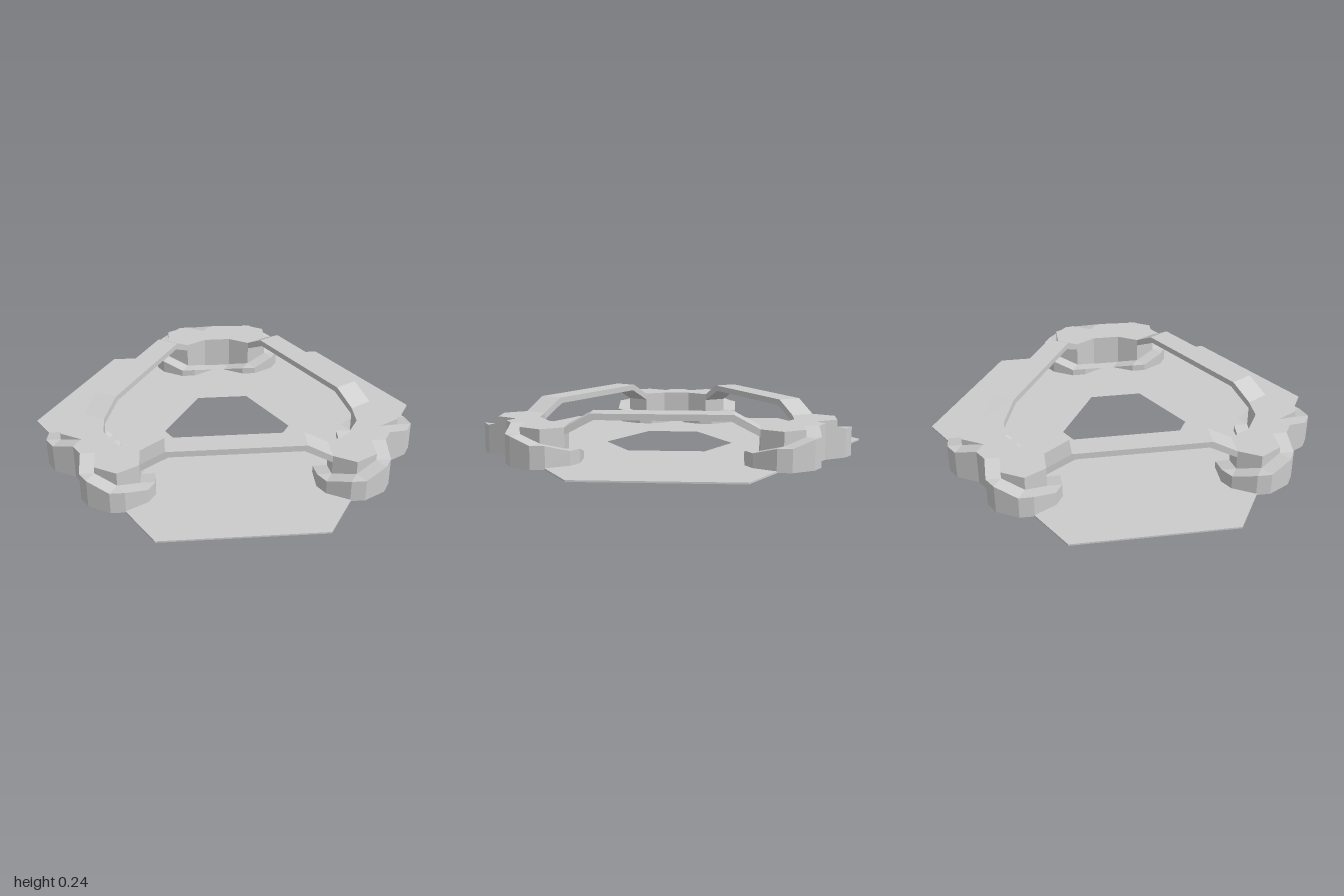
import * as THREE from 'three';

const R = 0.12;        // hexagon radius of each pillar
const W = 0.07;        // ramp width
const TOP = 0.175;     // deck height
const BASE = 0.008;    // plate thickness
const LOBE = [-0.74, -0.175]; // pillar centre of one corner, mirrored in z
const rad = Math.PI / 180;

const material = new THREE.MeshStandardMaterial({ color: 0xcccccc, flatShading: true });

function part(name, geometry) {
  const mesh = new THREE.Mesh(geometry, material);
  mesh.name = name;
  return mesh;
}

const corner = (deg) => [LOBE[0] + R * Math.cos(deg * rad), LOBE[1] + R * Math.sin(deg * rad)];
const offset = ([x, z], deg) => [x + W * Math.cos(deg * rad), z + W * Math.sin(deg * rad)];
const toShape = (points) => new THREE.Shape(points.map(([x, z]) => new THREE.Vector2(x, -z)));

// Extrude a ground plan upwards
function slab(shape, height) {
  return new THREE.ExtrudeGeometry(shape, { depth: height, bevelEnabled: false }).rotateX(-Math.PI / 2);
}

// Hexagon with alternating sides: (x, ±z) turned three times
function triHexagon(x, z) {
  const points = [];
  for (let k = 0; k < 3; k++) {
    const c = Math.cos(k * 120 * rad), s = Math.sin(k * 120 * rad);
    for (const zz of [-z, z]) points.push([x * c - zz * s, x * s + zz * c]);
  }
  return points;
}

// Two hexagonal pillars joined by a bridge, in one outline
function deckGeometry() {
  const half = [60, 0, -60, -120, -180, -240].map(corner);
  half.push(offset(corner(120), 150));
  const mirrored = half.map(([x, z]) => [x, -z]).reverse();
  return slab(toShape([...half, ...mirrored]), TOP);
}

// Ramp winding down around a pillar: straight runs with flat wedges at the corners
function rampGeometry(mirror) {
  const stations = [];
  for (let k = 0; k < 6; k++) {
    const a = 120 + k * 60;
    const inner = corner(a);
    const y = TOP + (BASE + 0.002 - TOP) * k / 5;
    for (const turn of k === 0 ? [30] : k === 5 ? [-30] : [-30, 30]) {
      const outer = offset(inner, a + turn);
      const at = ([x, z], h) => [x, h, z * mirror];
      stations.push({ it: at(inner, y), ot: at(outer, y), ib: at(inner, 0), ob: at(outer, 0) });
    }
  }
  const positions = [];
  const tri = (a, b, c) => positions.push(...(mirror > 0 ? [...a, ...b, ...c] : [...a, ...c, ...b]));
  const quad = (a, b, c, d) => { tri(a, b, c); tri(a, c, d); };
  for (let i = 0; i + 1 < stations.length; i++) {
    const p = stations[i], q = stations[i + 1];
    quad(p.it, q.it, q.ot, p.ot);
    quad(p.ob, p.ot, q.ot, q.ob);
    quad(p.ib, p.ob, q.ob, q.ib);
  }
  const first = stations[0], last = stations[stations.length - 1];
  quad(first.ib, first.it, first.ot, first.ob);
  quad(last.ob, last.ot, last.it, last.ib);
  const geometry = new THREE.BufferGeometry();
  geometry.setAttribute('position', new THREE.Float32BufferAttribute(positions, 3));
  geometry.computeVertexNormals();
  return geometry;
}

// Raised walkway with sloping ends
function walkwayGeometry() {
  const side = [[0.45, 0.14], [0.45, TOP], [0.33, 0.24]];
  const under = [0.315, 0.21];
  const outline = [
    under, ...side,
    ...side.map(([x, y]) => [-x, y]).reverse(), [-under[0], under[1]],
  ].map(([x, y]) => new THREE.Vector2(x, y));
  return new THREE.ExtrudeGeometry(new THREE.Shape(outline), { depth: R, bevelEnabled: false })
    .rotateY(Math.PI / 2)
    .translate(0.522 - R / 2, 0, 0);
}

export function createModel() {
  const model = new THREE.Group();
  model.name = 'walkwayRing';

  // Ground plate with a hexagonal opening
  const plan = toShape(triHexagon(0.93, 0.39));
  plan.holes.push(toShape(triHexagon(0.265, 0.19)));
  model.add(part('basePlate', slab(plan, BASE)));

  // Three corner platforms and the three walkways between them
  const deck = deckGeometry();
  const ramps = [rampGeometry(1), rampGeometry(-1)];
  const walkway = walkwayGeometry();
  for (let k = 0; k < 3; k++) {
    const platform = new THREE.Group();
    platform.name = 'cornerPlatform';
    platform.add(part('deck', deck), part('spiralRamp', ramps[0]), part('spiralRamp', ramps[1]));
    const bar = part('walkway', walkway);
    platform.rotation.y = bar.rotation.y = k * 120 * rad;
    model.add(platform, bar);
  }

  for (const child of model.children) child.position.x = -0.005;
  return model;
}
